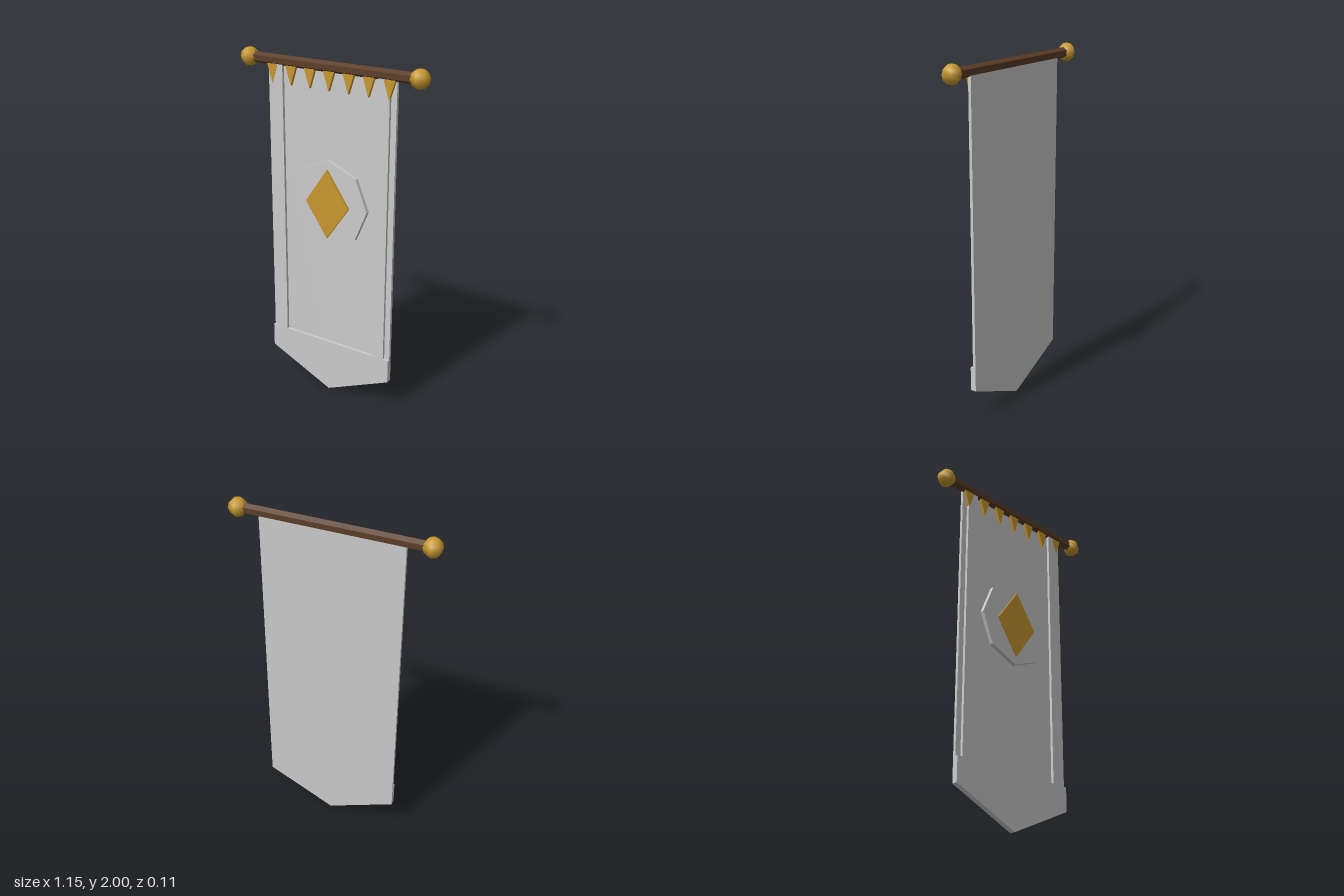
import * as THREE from 'three';

const cloth = new THREE.MeshStandardMaterial({ color: 0xcccccc, flatShading: true });
const gold = new THREE.MeshStandardMaterial({ color: 0xc8982f, flatShading: true });
const goldSmooth = new THREE.MeshStandardMaterial({ color: 0xc8982f });
const wood = new THREE.MeshStandardMaterial({ color: 0x5c3d28, flatShading: true });

// Flat outline pushed from z0 to z1
function slab(name, points, z0, z1, material) {
  const shape = new THREE.Shape(points.map(([x, y]) => new THREE.Vector2(x, y)));
  const geometry = new THREE.ExtrudeGeometry(shape, { depth: z1 - z0, bevelEnabled: false });
  geometry.translate(0, 0, z0);
  const mesh = new THREE.Mesh(geometry, material);
  mesh.name = name;
  return mesh;
}

export function createModel() {
  const model = new THREE.Group();
  model.name = 'hangingBanner';
  const poleY = 1.947, top = 1.935, half = 0.403;

  // Cloth with a pointed lower end
  model.add(slab('clothPanel',
    [[-half, top], [-half, 0.18], [0, 0], [half, 0.18], [half, top]], -0.017, 0, cloth));

  // Raised lower hem and the two vertical stripes
  model.add(slab('lowerHem',
    [[-half, 0.32], [-half, 0.18], [0, 0], [half, 0.18], [half, 0.32]], 0, 0.016, cloth));
  for (const side of [-1, 1]) {
    const stripe = new THREE.Mesh(new THREE.BoxGeometry(0.07, top - 0.32, 0.016), cloth);
    stripe.position.set(side * 0.335, (top + 0.32) / 2, 0.008);
    stripe.name = side > 0 ? 'leftStripe' : 'rightStripe';
    model.add(stripe);
  }

  // Octagonal emblem with a diamond
  const octagon = [];
  for (let i = 0; i < 8; i++) {
    const a = Math.PI / 2 + i * Math.PI / 4;
    octagon.push([0.25 * Math.cos(a), 1.19 + 0.25 * Math.sin(a)]);
  }
  model.add(slab('emblemPlate', octagon, 0, 0.024, cloth));
  model.add(slab('emblemDiamond',
    [[0, 1.39], [-0.14, 1.19], [0, 0.99], [0.14, 1.19]], 0.02, 0.036, gold));

  // Row of pointed fringe pieces below the pole
  for (let i = -3; i <= 3; i++) {
    const x = i * 0.122;
    model.add(slab('fringePoint',
      [[x - 0.034, 1.925], [x, 1.82], [x + 0.034, 1.925]], 0, 0.018, gold));
  }

  // Six-sided pole with an edge facing up
  const poleGeometry = new THREE.CylinderGeometry(0.03, 0.03, 1.06, 6, 1, false, Math.PI / 2);
  poleGeometry.rotateZ(Math.PI / 2);
  const pole = new THREE.Mesh(poleGeometry, wood);
  pole.position.y = poleY;
  pole.name = 'pole';
  model.add(pole);

  // Round end knobs
  for (const side of [-1, 1]) {
    const knob = new THREE.Mesh(new THREE.SphereGeometry(0.053, 6, 6), goldSmooth);
    knob.rotation.y = Math.PI / 2;
    knob.position.set(side * 0.53, poleY, 0);
    knob.name = side > 0 ? 'leftKnob' : 'rightKnob';
    model.add(knob);
  }
  return model;
}
